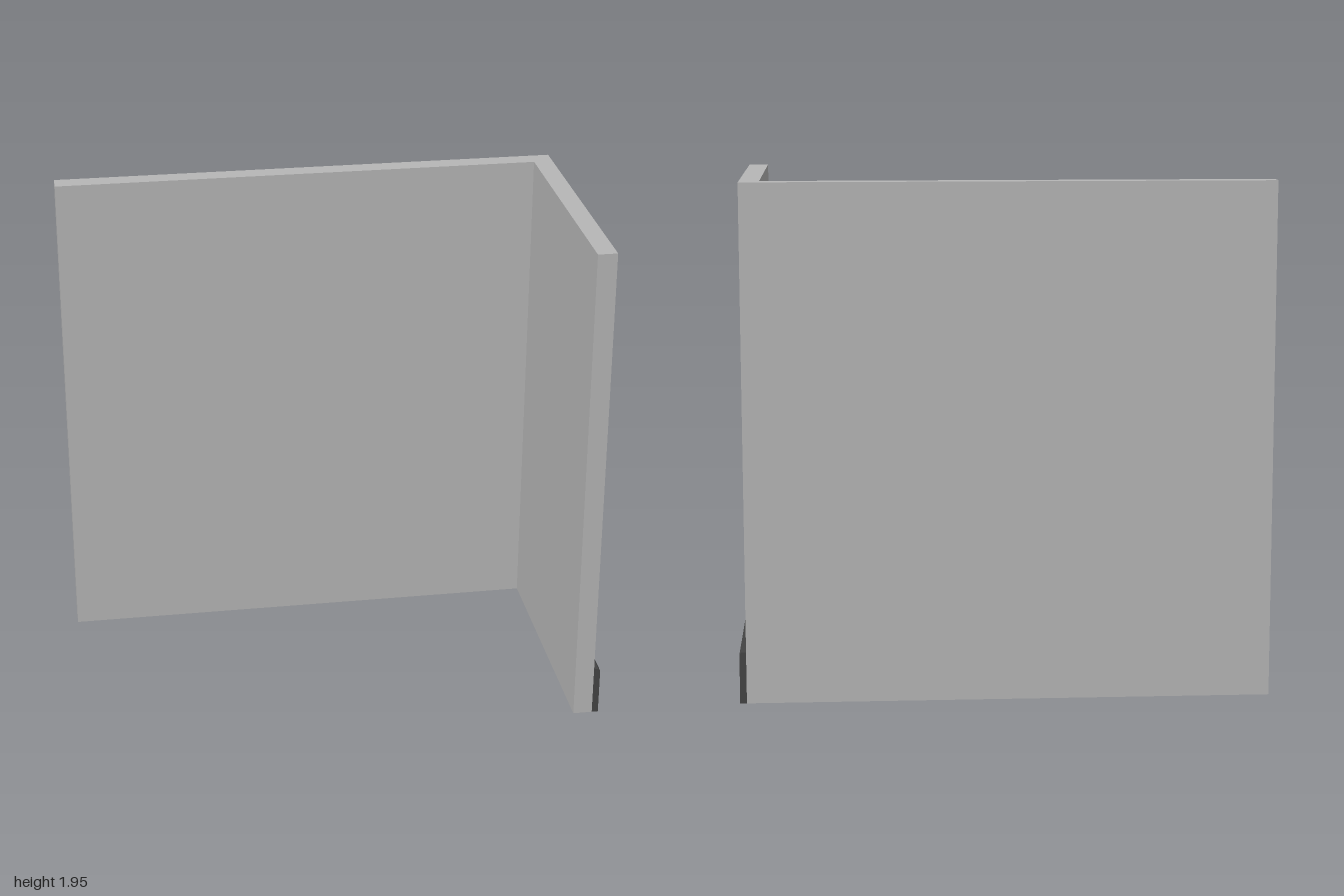
import * as THREE from 'three';

const WALL_H = 1.95, BACK = -0.543, FRONT = 0.543, THICK = 0.075;
const LEFT = -1, CORNER = 0.975;

function extrude(points, depth) {
  const shape = new THREE.Shape(points.map(([x, y]) => new THREE.Vector2(x, y)));
  return new THREE.ExtrudeGeometry(shape, { depth, bevelEnabled: false });
}

export function createModel() {
  const wallPaint = new THREE.MeshStandardMaterial({ name: 'wall grey', color: 0xb6b6b6 });
  const skirtingPaint = new THREE.MeshStandardMaterial({ name: 'skirting charcoal', color: 0x444444 });
  const model = new THREE.Group();
  model.name = 'cornerWall';

  // L-shaped plan (x, -z) raised to the wall height
  const wallGeometry = extrude([
    [LEFT, -BACK - THICK], [CORNER - THICK, -BACK - THICK], [CORNER - THICK, -FRONT],
    [CORNER, -FRONT], [CORNER, -BACK], [LEFT, -BACK],
  ], WALL_H).rotateX(-Math.PI / 2);
  const walls = new THREE.Mesh(wallGeometry, wallPaint);
  walls.name = 'walls';

  // Skirting profile (x, y) with a small chamfer, run along the outer side wall
  const skirtingGeometry = extrude([
    [CORNER, 0], [1, 0], [1, 0.188], [0.993, 0.197], [CORNER, 0.197],
  ], FRONT - BACK).translate(0, 0, BACK);
  const skirting = new THREE.Mesh(skirtingGeometry, skirtingPaint);
  skirting.name = 'skirtingBoard';

  model.add(walls, skirting);
  return model;
}
